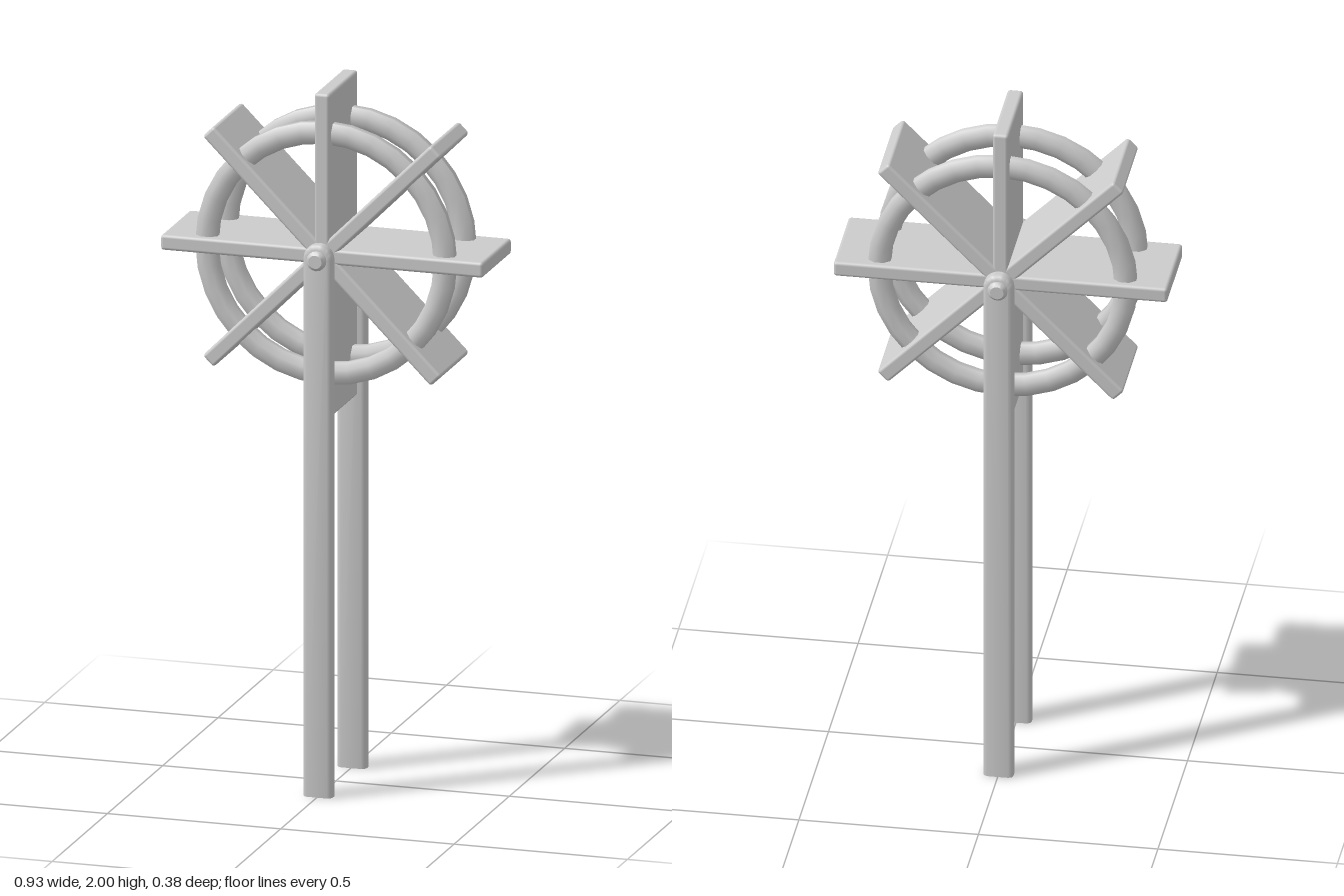
import * as THREE from 'three';
import { RoundedBoxGeometry } from 'three/addons/geometries/RoundedBoxGeometry.js';
import { toCreasedNormals } from 'three/addons/utils/BufferGeometryUtils.js';

const HUB_Y = 1.537;
const grey = new THREE.MeshStandardMaterial({ color: 0xcccccc });
const greyOpen = new THREE.MeshStandardMaterial({ color: 0xcccccc, side: THREE.DoubleSide });

function part(name, geometry, material = grey) {
  const mesh = new THREE.Mesh(geometry, material);
  mesh.name = name;
  return mesh;
}

// Flat post with rounded top and softened edges, left open at the foot
function postGeometry() {
  const w = 0.042, depth = 0.041, bevel = 0.013;
  const shape = new THREE.Shape();
  shape.moveTo(-w, 0);
  shape.lineTo(w, 0);
  shape.lineTo(w, HUB_Y);
  shape.absarc(0, HUB_Y, w, 0, Math.PI, false);
  shape.closePath();
  const g = new THREE.ExtrudeGeometry(shape, {
    depth: depth - 2 * bevel, bevelEnabled: true, bevelSize: bevel, bevelThickness: bevel,
    bevelOffset: -bevel, bevelSegments: 2, curveSegments: 8,
  });
  g.translate(0, 0, -(depth - 2 * bevel) / 2);

  // Cut the foot off square and drop the faces that would close it
  const p = g.attributes.position;
  const kept = [];
  for (let i = 0; i < p.count; i += 3) {
    const tri = [0, 1, 2].map((k) => new THREE.Vector3().fromBufferAttribute(p, i + k));
    tri.forEach((v) => { if (v.y < 0.05) v.y = 0; });
    if (tri.some((v) => v.y > 0)) kept.push(...tri);
  }
  return toCreasedNormals(new THREE.BufferGeometry().setFromPoints(kept), 0.9);
}

// Eight-sided, slightly flattened ring around the z axis
function ringGeometry() {
  const profile = [];
  const k = 1 / Math.cos(Math.PI / 8);
  for (let i = 0; i <= 8; i++) {
    const a = (i + 0.5) * Math.PI / 4;
    profile.push(new THREE.Vector2(0.344 + 0.031 * k * Math.cos(a), 0.024 * k * Math.sin(a)));
  }
  return new THREE.LatheGeometry(profile, 32).rotateX(Math.PI / 2);
}

// Axle with chamfered ends
function axleGeometry() {
  const r = 0.028, h = 0.19, c = 0.009;
  const profile = [[0, -h], [r - c, -h], [r, -h + c], [r, h - c], [r - c, h], [0, h]]
    .map(([x, y]) => new THREE.Vector2(x, y));
  return toCreasedNormals(new THREE.LatheGeometry(profile, 16).rotateX(Math.PI / 2), 0.6);
}

export function createModel() {
  const model = new THREE.Group();
  model.name = 'paddleWheel';

  const wheel = new THREE.Group();
  wheel.name = 'wheel';
  wheel.position.y = HUB_Y - 0.002;
  model.add(wheel);

  // Four boards crossing at the hub make eight paddles
  const board = new RoundedBoxGeometry(0.93, 0.044, 0.262, 2, 0.009);
  for (let i = 0; i < 4; i++) {
    const paddle = part('paddleBoard', board);
    paddle.rotation.z = i * Math.PI / 4;
    wheel.add(paddle);
  }
  wheel.add(part('axle', axleGeometry()));

  // Rings and posts, one on each side
  const ring = ringGeometry();
  const post = postGeometry();
  for (const [side, s] of [['front', 1], ['back', -1]]) {
    const rim = part(side + 'Ring', ring);
    rim.position.z = s * 0.088;
    wheel.add(rim);
    const leg = part(side + 'Post', post, greyOpen);
    leg.position.z = s * 0.154;
    model.add(leg);
  }
  return model;
}
